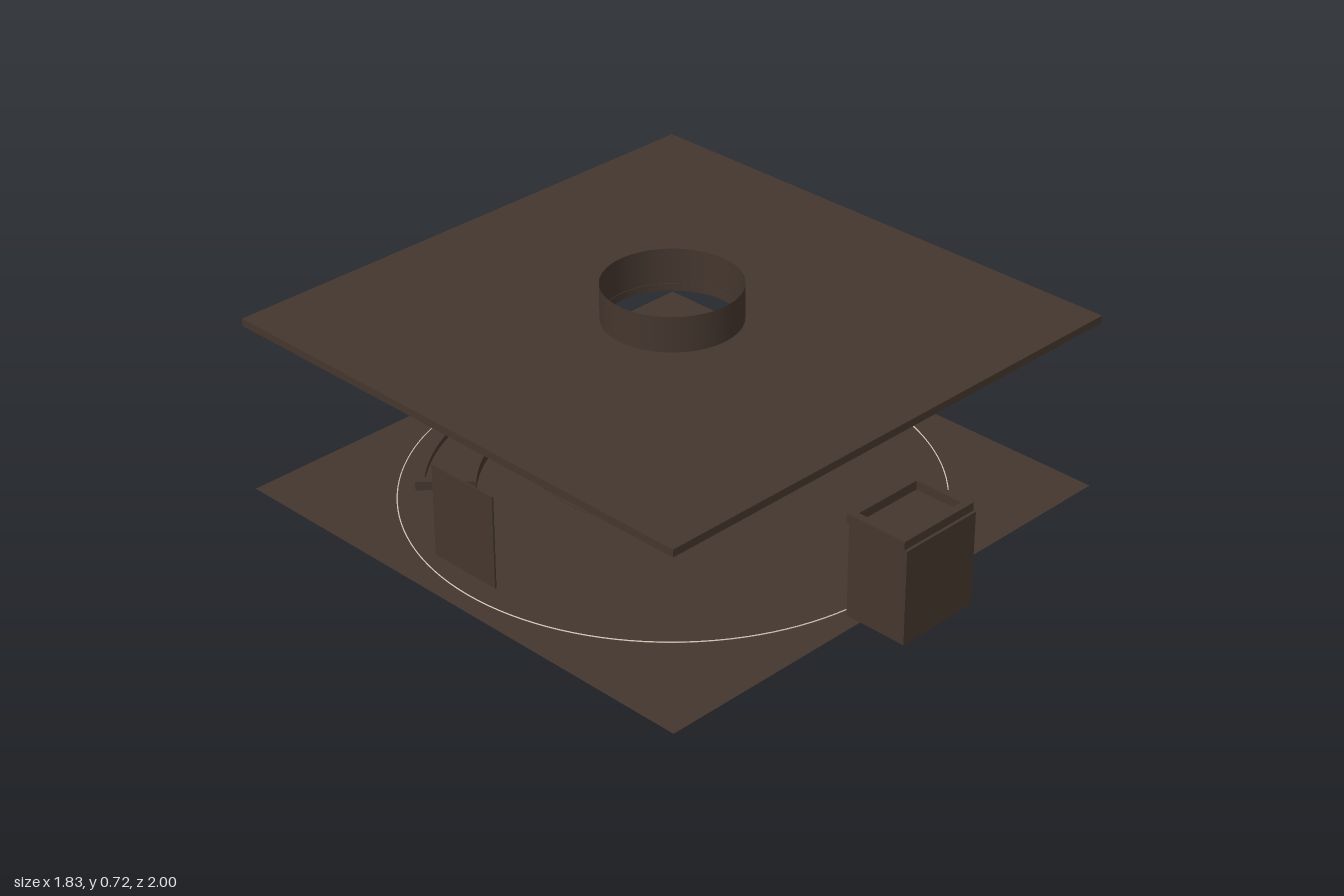
import * as THREE from 'three';

const mat = (name, color) => {
  const m = new THREE.MeshStandardMaterial({ color, side: THREE.DoubleSide });
  m.name = name;
  return m;
};

export function createModel() {
  const root = new THREE.Group();
  root.name = 'lobby';
  const brown = mat('darkBrown', 0x44362e);
  const pale = mat('paleCream', 0xd6ccb9);
  const green = mat('deepGreen', 0x1f3a31);
  const CZ = -0.083; // centre of the room
  const PZ = -0.235; // centre of the seating circle

  const add = (name, geo, material, x = 0, y = 0, z = 0, parent = root) => {
    const m = new THREE.Mesh(geo, material);
    m.name = name;
    m.position.set(x, y, z);
    parent.add(m);
    return m;
  };
  const box = (name, w, h, d, material, x, y, z, parent) =>
    add(name, new THREE.BoxGeometry(w, h, d), material, x, y, z, parent);

  // Sector of a ring lying on the ground; mid is the angle of its middle (-90 deg faces +z)
  const arc = (name, r0, r1, mid, half, h, material, y, z) => {
    const s = new THREE.Shape();
    s.absarc(0, 0, r1, mid - half, mid + half, false);
    s.absarc(0, 0, r0, mid + half, mid - half, true);
    s.closePath();
    const g = new THREE.ExtrudeGeometry(s, { depth: h, bevelEnabled: false, curveSegments: 40 });
    g.rotateX(-Math.PI / 2);
    return add(name, g, material, 0, y, z);
  };
  const ring = (name, r, tube, material, y, z) => {
    const g = new THREE.TorusGeometry(r, tube, 6, 128);
    g.rotateX(Math.PI / 2);
    return add(name, g, material, 0, y, z);
  };

  // Floor and its light rings
  const floor = new THREE.PlaneGeometry(1.834, 1.833);
  floor.rotateX(-Math.PI / 2);
  add('floor', floor, brown, 0, 0, CZ);
  ring('floorLightRing', 0.855, 0.002, pale, 0.002, CZ);
  ring('ceilingLightRing', 0.855, 0.002, pale, 0.551, CZ);
  ring('seatingCircle', 0.3, 0.002, brown, 0.002, PZ);

  // Roof slab with a round skylight and collar
  const slab = new THREE.Shape();
  slab.moveTo(-0.917, -0.9165).lineTo(0.917, -0.9165).lineTo(0.917, 0.9165).lineTo(-0.917, 0.9165).closePath();
  const hole = new THREE.Path();
  hole.absarc(0, 0, 0.218, 0, Math.PI * 2, true);
  slab.holes.push(hole);
  const roof = new THREE.ExtrudeGeometry(slab, { depth: 0.025, bevelEnabled: false, curveSegments: 48 });
  roof.rotateX(-Math.PI / 2);
  add('roof', roof, brown, 0, 0.576, CZ);
  add('skylightCollar', new THREE.CylinderGeometry(0.22, 0.22, 0.144, 64, 1, true), brown, 0, 0.648, CZ);

  // Entrance box: four walls, recessed top and pale inner lining
  const entrance = new THREE.Group();
  entrance.name = 'entranceBox';
  root.add(entrance);
  box('frontWall', 0.3, 0.318, 0.012, brown, 0, 0.159, 0.994, entrance);
  box('rearWall', 0.3, 0.318, 0.012, brown, 0, 0.159, 0.786, entrance);
  for (const s of [-1, 1]) {
    box('sideWall', 0.012, 0.318, 0.22, brown, s * 0.144, 0.159, 0.89, entrance);
    box('sideRim', 0.025, 0.03, 0.22, brown, s * 0.1375, 0.331, 0.88, entrance);
    box('crossRim', 0.3, 0.03, 0.025, brown, 0, 0.331, 0.88 + s * 0.0975, entrance);
  }
  box('recessedTop', 0.296, 0.01, 0.212, brown, 0, 0.31, 0.89, entrance);
  box('innerLining', 0.276, 0.3, 0.004, pale, 0, 0.152, 0.986, entrance);

  // Curved sofa
  const front = -Math.PI / 2, half = 0.675;
  arc('sofaSeat', 0.282, 0.346, front, half, 0.04, pale, 0, PZ);
  arc('sofaBack', 0.344, 0.384, front, half, 0.062, pale, 0, PZ);

  // Round table with a small globe
  add('roundTable', new THREE.CylinderGeometry(0.053, 0.053, 0.036, 32), brown, 0, 0.018, PZ);
  add('globe', new THREE.SphereGeometry(0.014, 20, 14), pale, 0.015, 0.05, PZ + 0.003);

  // Pair of stools facing the table
  for (const s of [-1, 1]) {
    const stool = new THREE.Group();
    stool.name = 'stool';
    stool.position.set(s * 0.26, 0, -0.365);
    stool.rotation.y = -s * 1.1;
    root.add(stool);
    box('stoolBase', 0.05, 0.034, 0.045, brown, 0, 0.017, 0, stool);
    box('stoolSeat', 0.06, 0.014, 0.054, brown, 0, 0.038, 0, stool);
    box('stoolCushion', 0.052, 0.014, 0.046, brown, 0, 0.051, 0, stool);
  }

  // Low curved planter at the back, with a raised rim
  const back = Math.PI / 2, sweep = 0.803;
  arc('planterBed', 0.612, 0.798, back, sweep - 0.002, 0.012, brown, 0, CZ);
  arc('planterOuterRim', 0.772, 0.8, back, sweep, 0.03, brown, 0, CZ);
  arc('planterInnerRim', 0.61, 0.638, back, sweep, 0.03, brown, 0, CZ);
  for (const s of [-1, 1]) {
    arc('planterEndRim', 0.63, 0.78, back + s * (sweep - 0.02), 0.02, 0.03, brown, 0, CZ);
  }

  // Pedestal with a tilted reader
  box('pedestal', 0.066, 0.106, 0.066, brown, 0.537, 0.053, 0.07);
  box('readerStem', 0.024, 0.012, 0.016, brown, 0.537, 0.11, 0.08);
  const reader = box('reader', 0.044, 0.02, 0.008, brown, 0.537, 0.116, 0.083);
  reader.rotation.x = -0.5;

  // Wall panel with a painted landmass and marker
  box('panelBacking', 0.005, 0.31, 0.26, brown, -0.861, 0.245, -0.08);
  box('panelFace', 0.002, 0.308, 0.258, green, -0.858, 0.245, -0.08);
  const coast = [[0.049, 0.3], [-0.02, 0.31], [-0.067, 0.29], [-0.115, 0.32], [-0.158, 0.305], [-0.169, 0.257],
    [-0.147, 0.22], [-0.158, 0.176], [-0.137, 0.144], [-0.072, 0.134], [-0.03, 0.155], [-0.03, 0.203],
    [0.013, 0.22], [0.049, 0.235]];
  const land = new THREE.Shape();
  land.moveTo(-coast[0][0], coast[0][1]);
  land.splineThru(coast.slice(1).map(([z, y]) => new THREE.Vector2(-z, y)));
  land.closePath();
  add('landmass', new THREE.ShapeGeometry(land, 4).rotateY(Math.PI / 2), brown, -0.856, 0, 0);
  const marker = add('marker', new THREE.CircleGeometry(0.012, 16).rotateY(Math.PI / 2), pale, -0.854, 0.267, -0.02);
  marker.scale.y = 0.7;

  return root;
}
